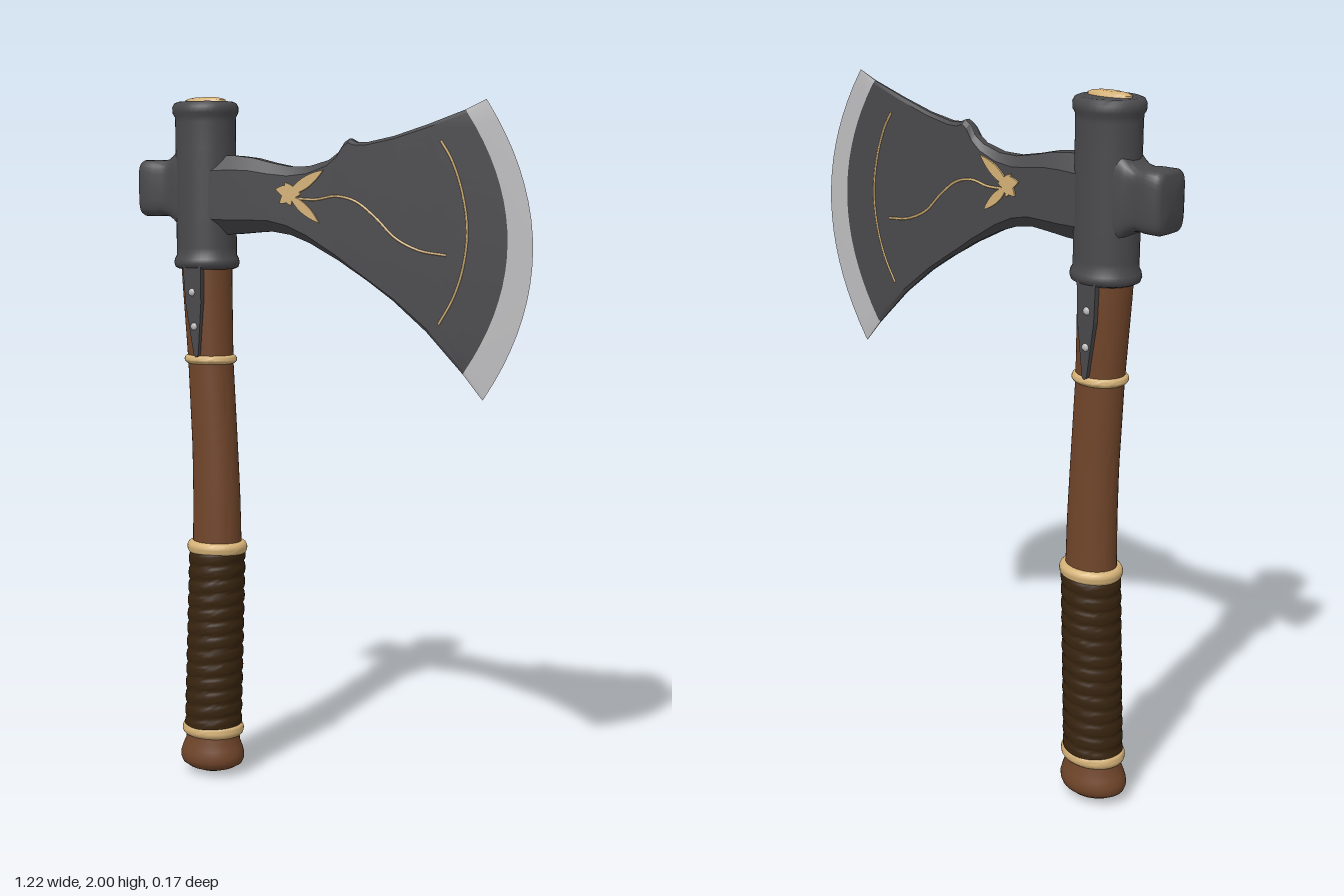
import * as THREE from 'three';
import { toCreasedNormals } from 'three/addons/utils/BufferGeometryUtils.js';

const mat = (name, color, opts = {}) => Object.assign(new THREE.MeshStandardMaterial({ color, ...opts }), { name });

// Piecewise linear lookup in a table of [key, value]
function lookup(table, k) {
  if (k <= table[0][0]) return table[0][1];
  for (let i = 1; i < table.length; i++) {
    const [k0, v0] = table[i - 1], [k1, v1] = table[i];
    if (k <= k1) return v0 + (v1 - v0) * (k - k0) / (k1 - k0);
  }
  return table[table.length - 1][1];
}

// Skin a list of closed cross-sections and cap both ends
function loft(sections, crease = 0.6) {
  const n = sections[0].length, pos = sections.flat(2), idx = [];
  for (let i = 0; i < sections.length - 1; i++) {
    for (let j = 0; j < n; j++) {
      const a = i * n + j, c = i * n + (j + 1) % n, b = a + n, d = c + n;
      idx.push(a, b, c, c, b, d);
    }
  }
  [0, sections.length - 1].forEach((s, end) => {
    const mid = [0, 1, 2].map(k => sections[s].reduce((t, p) => t + p[k], 0) / n);
    const m = pos.length / 3;
    pos.push(...mid);
    for (let j = 0; j < n; j++) {
      const a = s * n + j, b = s * n + (j + 1) % n;
      if (end) idx.push(m, b, a); else idx.push(m, a, b);
    }
  });
  const g = new THREE.BufferGeometry();
  g.setAttribute('position', new THREE.Float32BufferAttribute(pos, 3));
  g.setIndex(idx);
  return toCreasedNormals(g.toNonIndexed(), crease);
}

// Horizontal ellipse following the bent handle axis
const AXIS = [[0, -0.413], [0.12, -0.408], [0.4, -0.397], [0.68, -0.386], [0.85, -0.386], [1, -0.39], [1.25, -0.402], [1.5, -0.412]];
function ring(y, rx, rz, tilt = 0, n = 36) {
  return Array.from({ length: n }, (_, j) => {
    const a = j / n * Math.PI * 2;
    return [lookup(AXIS, y) + rx * Math.cos(a), y + tilt * Math.cos(a), rz * Math.sin(a)];
  });
}
const turned = (rows, crease) => loft(rows.map(r => ring(...r)), crease);

// Rounded band around the handle
function band(y, rx, rz, h) {
  const rows = [];
  for (let i = 0; i <= 8; i++) {
    const a = (i / 8 - 0.5) * Math.PI, s = 0.014 * (1 - Math.cos(a));
    rows.push([y + Math.sin(a) * h / 2, rx - s, rz - s]);
  }
  return turned(rows, 1);
}

// Blade: half thickness by x, and outline stations [x, top, bottom]
const THICK = [[-0.36, 0.062], [-0.2, 0.045], [-0.1, 0.034], [0, 0.025], [0.2, 0.014], [0.4, 0.006], [0.6, 0.001]];
const OUTLINE = [
  [-0.37, 1.838, 1.612], [-0.3, 1.835, 1.615], [-0.24, 1.828, 1.62], [-0.18, 1.814, 1.624], [-0.12, 1.803, 1.615],
  [-0.06, 1.804, 1.593], [0, 1.82, 1.562], [0.03, 1.84, 1.547], [0.05, 1.868, 1.535], [0.066, 1.877, 1.525],
  [0.085, 1.868, 1.514], [0.12, 1.867, 1.493], [0.2, 1.882, 1.44], [0.3, 1.911, 1.36], [0.41, 1.947, 1.25],
];
function bladeSection([x, top, bot], edge = 1, bulge = 0.125 * Math.max(0, (x - 0.05) / 0.36) ** 2) {
  const inset = Math.max(0.008, 0.045 - 0.08 * (x + 0.36)), m = 18, front = [];
  const at = (y, k) => {
    const v = (y - bot) / (top - bot), px = x + bulge * 4 * v * (1 - v);
    return [px, y, lookup(THICK, px) * k * edge];
  };
  front.push(at(bot, 0.4));
  for (let i = 0; i <= m; i++) front.push(at(bot + inset + (top - bot - 2 * inset) * i / m, 1));
  front.push(at(top, 0.4));
  return [...front, ...front.slice().reverse().map(([a, b, c]) => [a, b, -c])];
}

// Pointed leaf, as a thin plate laid on the blade face
function leaf(x, y, angle, len, w) {
  const s = new THREE.Shape();
  s.moveTo(0, 0);
  s.quadraticCurveTo(len * 0.45, w, len, 0);
  s.quadraticCurveTo(len * 0.45, -w, 0, 0);
  const g = new THREE.ExtrudeGeometry(s, { depth: 0.008, bevelEnabled: false, curveSegments: 8 });
  g.rotateZ(angle).translate(x, y, 0);
  const p = g.attributes.position;
  for (let i = 0; i < p.count; i++) p.setZ(i, p.getZ(i) + lookup(THICK, p.getX(i)) - 0.003);
  g.computeVertexNormals();
  return g;
}

// Fine wire laid into the blade face
function wire(points) {
  const flat = new THREE.CatmullRomCurve3(points.map(([x, y]) => new THREE.Vector3(x, y, 0)));
  const pts = flat.getPoints(30).map(p => p.setZ(lookup(THICK, p.x) + 0.0005));
  return new THREE.TubeGeometry(new THREE.CatmullRomCurve3(pts), 60, 0.0035, 6);
}

export function createModel() {
  const wood = mat('wood', 0x70452a), leather = mat('leather', 0x38240f), gold = mat('gold', 0xd4b177);
  const iron = mat('darkIron', 0x49494c), steel = mat('edgeSteel', 0xbcbcbe);
  const root = new THREE.Group();
  root.name = 'axe';
  const add = (name, geo, material, parent = root) => {
    const m = new THREE.Mesh(geo, material);
    m.name = name;
    parent.add(m);
    return m;
  };

  // Handle with rounded pommel
  const shaft = [];
  for (let i = 0; i <= 20; i++) {
    const y = 0.66 + i * 0.045;
    shaft.push([y, lookup([[0.66, 0.076], [1, 0.07], [1.25, 0.068], [1.52, 0.075]], y),
      lookup([[0.66, 0.063], [1, 0.058], [1.25, 0.06], [1.52, 0.069]], y)]);
  }
  add('shaft', turned(shaft, 1), wood);
  add('pommel', turned([[0.004, 0.006, 0.005], [0.012, 0.04, 0.034], [0.024, 0.074, 0.062], [0.036, 0.094, 0.076], [0.05, 0.1, 0.081],
    [0.066, 0.1, 0.081], [0.085, 0.094, 0.077], [0.105, 0.085, 0.072], [0.14, 0.08, 0.068]], 1), wood);

  // Leather grip with slightly slanted wraps
  const grip = [], wraps = 13;
  for (let i = 0; i <= wraps * 6; i++) {
    const t = i / (wraps * 6), bump = 0.005 * Math.sqrt(Math.abs(Math.sin(t * wraps * Math.PI)));
    grip.push([0.14 + 0.55 * t, 0.084 + bump - 0.003 * t, 0.074 + bump, 0.008]);
  }
  add('grip', turned(grip, 1), leather);

  // Gold bands
  add('lowerBand', band(0.141, 0.096, 0.082, 0.038), gold);
  add('middleBand', band(0.698, 0.092, 0.08, 0.038), gold);
  add('upperBand', band(1.254, 0.079, 0.07, 0.026), gold);

  // Socket around the top of the handle, with the wedge in it
  add('socket', turned([[1.515, 0.084, 0.072], [1.52, 0.094, 0.082], [1.532, 0.098, 0.086], [1.543, 0.096, 0.084], [1.555, 0.09, 0.078],
    [1.575, 0.09, 0.078], [1.65, 0.09, 0.078], [1.85, 0.09, 0.078], [1.93, 0.09, 0.078], [1.945, 0.091, 0.079], [1.955, 0.097, 0.085],
    [1.972, 0.098, 0.086], [1.983, 0.092, 0.08], [1.987, 0.082, 0.07]], 0.9), iron);
  add('wedge', turned([[1.975, 0.067, 0.027], [1.992, 0.067, 0.027], [1.997, 0.055, 0.021], [2, 0.035, 0.012]], 1), gold);

  // Hammer poll behind the socket: rounded square sections
  const pollRows = [[-0.614, 0.068, 0.046], [-0.61, 0.077, 0.054], [-0.6, 0.081, 0.06], [-0.56, 0.081, 0.059], [-0.535, 0.079, 0.053],
    [-0.515, 0.084, 0.051], [-0.5, 0.094, 0.054], [-0.485, 0.108, 0.058], [-0.44, 0.11, 0.06]];
  const soft = v => Math.sign(v) * Math.abs(v) ** 0.45;
  add('poll', loft(pollRows.map(([x, hy, hz]) => Array.from({ length: 32 }, (_, j) => {
    const a = j / 32 * Math.PI * 2;
    return [x, 1.745 + hy * soft(Math.sin(a)), hz * soft(Math.cos(a))];
  })), 0.8), iron);

  // Blade body and its bright cutting edge
  const last = OUTLINE[OUTLINE.length - 1];
  add('blade', loft(OUTLINE.map(s => bladeSection(s)), 0.35), iron);
  add('cuttingEdge', loft([bladeSection(last), bladeSection([0.468, 1.972, 1.183], 0.25, 0.138)], 0.35), steel);

  // Both faces: inlay, side strap and rivets
  for (const side of [1, -1]) {
    const face = new THREE.Group();
    face.name = side > 0 ? 'frontDetails' : 'backDetails';
    face.scale.z = side;
    root.add(face);

    const leaves = [[-0.115, 1.725, 0.56, 0.128, 0.03], [-0.11, 1.725, -0.7, 0.118, 0.026], [-0.075, 1.727, 2.95, 0.078, 0.036],
      [-0.09, 1.74, 3.8, 0.062, 0.03], [-0.09, 1.715, 2.2, 0.055, 0.026], [-0.12, 1.735, -1.2, 0.042, 0.022]];
    leaves.forEach(l => add('leafInlay', leaf(...l), gold, face));
    add('vineInlay', wire([[-0.09, 1.715], [-0.03, 1.713], [0.03, 1.722], [0.09, 1.708], [0.15, 1.665], [0.21, 1.61], [0.28, 1.578], [0.36, 1.566]]), gold, face);
    add('arcInlay', wire([[0.342, 1.867], [0.372, 1.82], [0.405, 1.73], [0.42, 1.63], [0.408, 1.53], [0.38, 1.45], [0.34, 1.382]]), gold, face);

    const s = new THREE.Shape();
    s.moveTo(-0.442, 1.53);
    s.lineTo(-0.436, 1.42);
    s.lineTo(-0.413, 1.272);
    s.quadraticCurveTo(-0.405, 1.255, -0.397, 1.272);
    s.lineTo(-0.383, 1.42);
    s.lineTo(-0.381, 1.53);
    const strap = new THREE.ExtrudeGeometry(s, { depth: 0.018, bevelEnabled: false });
    const strapZ = y => 0.058 + (y - 1.26) * 0.03;
    const p = strap.attributes.position;
    for (let i = 0; i < p.count; i++) p.setZ(i, p.getZ(i) + strapZ(p.getY(i)) - 0.004);
    strap.computeVertexNormals();
    add('strap', strap, iron, face);
    for (const [x, y] of [[-0.413, 1.45], [-0.409, 1.352]]) {
      const rivet = add('rivet', new THREE.SphereGeometry(0.011, 12, 8), steel, face);
      rivet.position.set(x, y, strapZ(y) + 0.013);
      rivet.scale.z = 0.6;
    }
  }
  return root;
}
